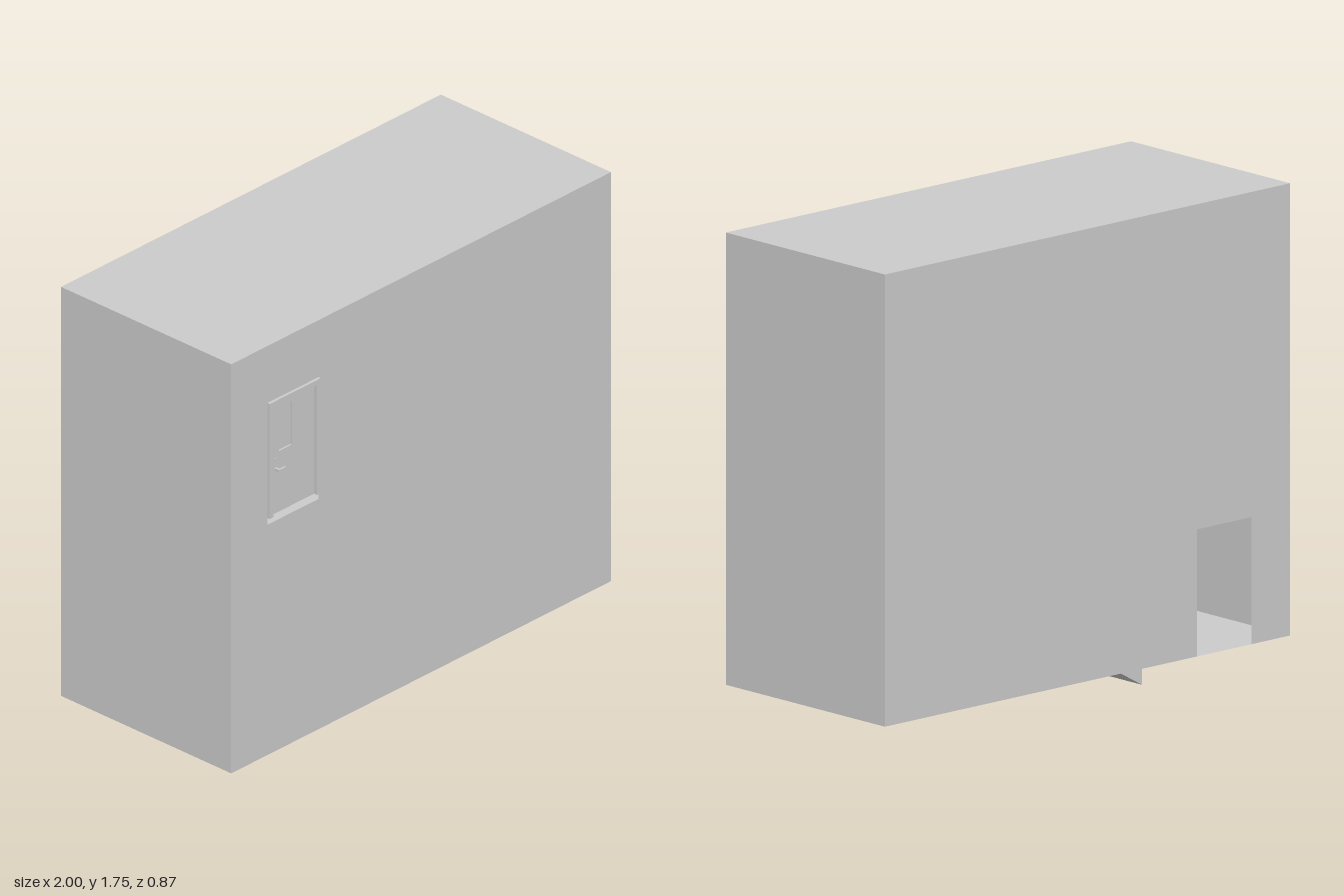
import * as THREE from 'three';

const grey = new THREE.MeshStandardMaterial({ color: 0xcccccc, flatShading: true });
const thin = new THREE.MeshStandardMaterial({ color: 0xcccccc, side: THREE.DoubleSide });

// Building shell and stair dimensions
const FLOOR = 0.06, TOP = 1.75, BACK = -0.435, FRONT = 0.415;
const MID = (BACK + FRONT) / 2, DEPTH = FRONT - BACK;
const STEPS = 8, RISE = 0.475 / STEPS, TREAD = 0.83 / STEPS;
const START = -0.27, END = START + STEPS * TREAD;
const HALF = FLOOR + STEPS * RISE, UPPER = HALF + STEPS * RISE;
const DOOR_L = -0.81, DOOR_R = -0.54;

function add(parent, name, geometry, material = grey) {
  const mesh = new THREE.Mesh(geometry, material);
  mesh.name = name;
  parent.add(mesh);
  return mesh;
}

// Box given by its lower and upper corners
function box(parent, name, [x0, y0, z0], [x1, y1, z1]) {
  const mesh = add(parent, name, new THREE.BoxGeometry(x1 - x0, y1 - y0, z1 - z0));
  mesh.position.set((x0 + x1) / 2, (y0 + y1) / 2, (z0 + z1) / 2);
  return mesh;
}

function polygon(points, Type = THREE.Shape) {
  return new Type(points.map(([x, y]) => new THREE.Vector2(x, y)));
}

function rect(x0, y0, x1, y1, Type) {
  return polygon([[x0, y0], [x1, y0], [x1, y1], [x0, y1]], Type);
}

// Square bar between two points of a plane z = constant
function bar(parent, name, [x0, y0], [x1, y1], z, size) {
  const mesh = add(parent, name, new THREE.BoxGeometry(Math.hypot(x1 - x0, y1 - y0), size, size));
  mesh.position.set((x0 + x1) / 2, (y0 + y1) / 2, z);
  mesh.rotation.z = Math.atan2(y1 - y0, x1 - x0);
}

function buildShell() {
  const shell = new THREE.Group();
  shell.name = 'shell';

  const frontShape = rect(-1, FLOOR, 1, TOP);
  frontShape.holes.push(rect(DOOR_L, UPPER, DOOR_R, 1.515, THREE.Path));
  add(shell, 'frontWall', new THREE.ShapeGeometry(frontShape), thin).position.z = FRONT;

  // The back doorway reaches down to the floor
  const backShape = polygon([
    [-1, FLOOR], [DOOR_L, FLOOR], [DOOR_L, HALF], [DOOR_R, HALF],
    [DOOR_R, FLOOR], [1, FLOOR], [1, TOP], [-1, TOP],
  ]);
  const back = new THREE.ShapeGeometry(backShape);
  back.scale(-1, 1, -1);
  const backWall = add(shell, 'backWall', back, thin);
  backWall.rotation.y = Math.PI;
  backWall.scale.x = 1;
  // Turn the outline round so that the wall faces outwards
  backWall.geometry = new THREE.ShapeGeometry(polygon(backShape.getPoints().map((p) => [-p.x, p.y])));
  backWall.position.z = BACK;

  for (const side of [-1, 1]) {
    const wall = add(shell, side > 0 ? 'leftWall' : 'rightWall', new THREE.PlaneGeometry(DEPTH, TOP - FLOOR), thin);
    wall.rotation.y = side * Math.PI / 2;
    wall.position.set(side, (TOP + FLOOR) / 2, MID);
  }
  for (const [name, y, turn] of [['floor', FLOOR, 1], ['roof', TOP, -1]]) {
    const slab = add(shell, name, new THREE.PlaneGeometry(2, DEPTH), thin);
    slab.rotation.x = turn * Math.PI / 2;
    slab.position.set(0, y, MID);
  }
  return shell;
}

// Stepped flight with a sloping underside, rising towards +x
function flightGeometry(width) {
  const points = [[START, 0]];
  for (let i = 0; i < STEPS; i++) {
    const y = FLOOR + (i + 1) * RISE;
    points.push([START + i * TREAD, y], [START + (i + 1) * TREAD, y]);
  }
  points.push([END, HALF - FLOOR]);
  return new THREE.ExtrudeGeometry(polygon(points), { depth: width, bevelEnabled: false });
}

function buildStairs() {
  const stairs = new THREE.Group();
  stairs.name = 'stairs';
  const width = DEPTH / 2;
  const e = 0.002;

  // Lower flight along the back, upper flight returning along the front
  const lower = add(stairs, 'lowerFlight', flightGeometry(width - e));
  lower.position.z = BACK + e;
  const upper = add(stairs, 'upperFlight', flightGeometry(width - e));
  upper.rotation.y = Math.PI;
  upper.position.set(START + END, HALF - FLOOR, FRONT - e);

  box(stairs, 'halfLanding', [END, HALF - 0.06, BACK + e], [1 - e, HALF, FRONT - e]);
  box(stairs, 'upperLanding', [-1 + e, UPPER - 0.06, BACK + e], [START, UPPER, FRONT - e]);

  // Handrails with posts on the inner side of each flight
  const h = 0.23;
  const rails = [
    { x0: START - 0.06, y0: FLOOR, x1: END, y1: HALF, z: MID - 0.04 },
    { x0: END, y0: HALF, x1: START, y1: UPPER, z: MID + 0.04 },
  ];
  for (const { x0, y0, x1, y1, z } of rails) {
    bar(stairs, 'handrail', [x0, y0 + h], [x1, y1 + h], z, 0.03);
    bar(stairs, 'railPost', [x0, y0], [x0, y0 + h], z, 0.025);
    bar(stairs, 'railPost', [x1, y1], [x1, y1 + h], z, 0.025);
  }
  bar(stairs, 'landingRail', [START, UPPER + h], [-0.98, UPPER + h], MID - 0.38, 0.03);
  return stairs;
}

function buildDoor() {
  const door = new THREE.Group();
  door.name = 'door';
  const bottom = 1.04, top = 1.515, inset = 0.02;
  const l = DOOR_L + inset, r = DOOR_R - inset, t = top - inset;

  // Frame open at the bottom
  const frame = polygon([
    [DOOR_L, bottom], [l, bottom], [l, t], [r, t],
    [r, bottom], [DOOR_R, bottom], [DOOR_R, top], [DOOR_L, top],
  ]);
  add(door, 'doorFrame', new THREE.ExtrudeGeometry(frame, { depth: 0.035, bevelEnabled: false })).position.z = 0.392;

  // Leaf with a narrow recessed window
  const leaf = rect(l, bottom, r, t);
  leaf.holes.push(rect(-0.746, 1.29, -0.677, 1.47, THREE.Path));
  add(door, 'doorLeaf', new THREE.ExtrudeGeometry(leaf, { depth: 0.016, bevelEnabled: false })).position.z = 0.396;
  box(door, 'windowPane', [-0.746, 1.29, 0.4], [-0.677, 1.47, 0.405]);

  // Lever handle and lock
  box(door, 'handleStem', [-0.77, 1.219, 0.41], [-0.76, 1.229, 0.435]);
  box(door, 'handleLever', [-0.77, 1.219, 0.427], [-0.732, 1.228, 0.435]);
  box(door, 'lock', [-0.772, 1.26, 0.41], [-0.76, 1.268, 0.415]);
  return door;
}

export function createModel() {
  const model = new THREE.Group();
  model.name = 'stairwell';
  model.add(buildShell(), buildStairs(), buildDoor());
  return model;
}
